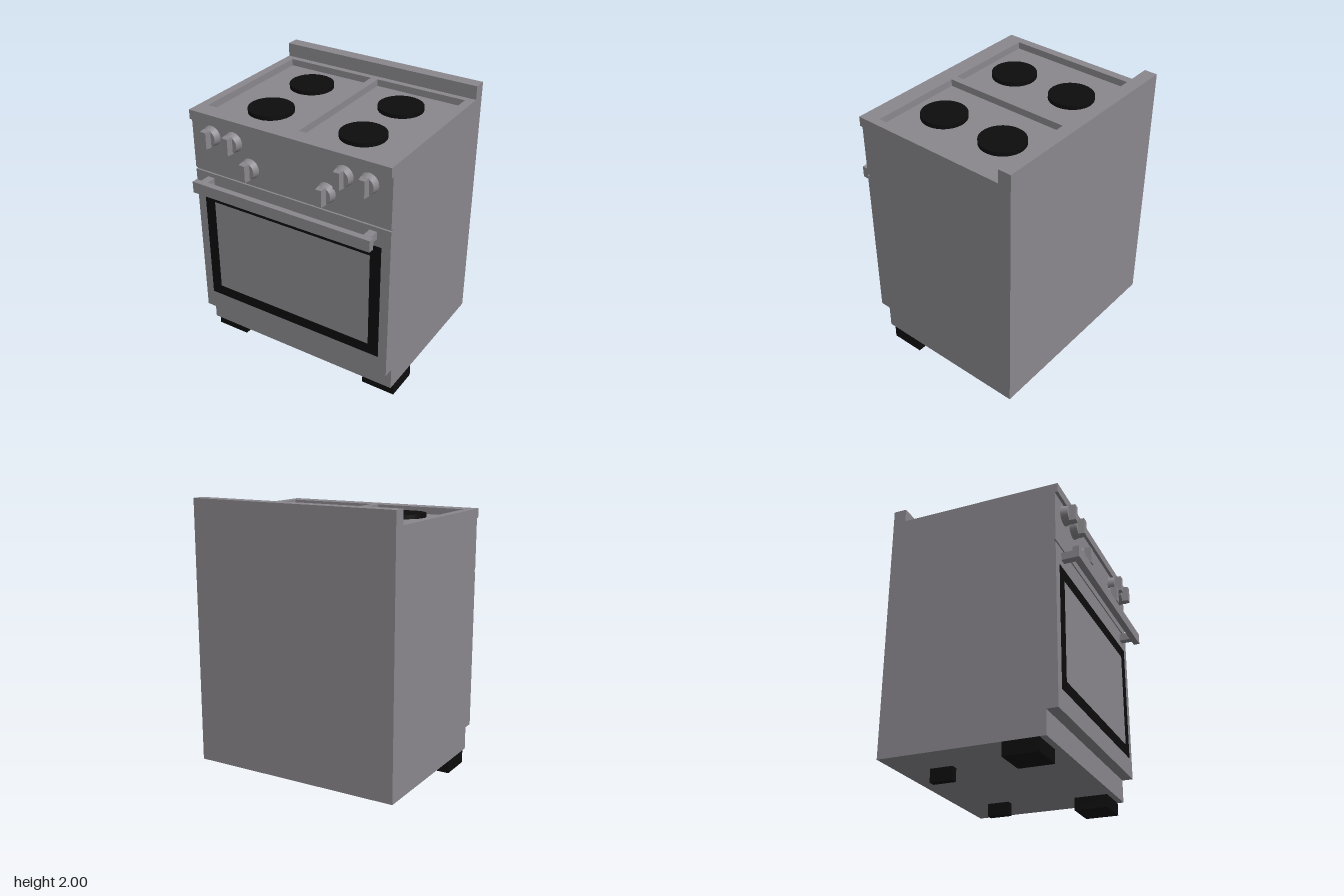
import * as THREE from 'three';

const steel = new THREE.MeshStandardMaterial({ color: 0x8a888d });
steel.name = 'steel';
const black = new THREE.MeshStandardMaterial({ color: 0x0d0d0d });
black.name = 'black';

const HALF = 0.783; // half width of the cooker
const BACK = -0.695;

function add(parent, name, geometry, material) {
  const mesh = new THREE.Mesh(geometry, material);
  mesh.name = name;
  parent.add(mesh);
  return mesh;
}

// Box given by its limits on each axis
function box(parent, name, material, [x0, x1], [y0, y1], [z0, z1]) {
  const mesh = add(parent, name, new THREE.BoxGeometry(x1 - x0, y1 - y0, z1 - z0), material);
  mesh.position.set((x0 + x1) / 2, (y0 + y1) / 2, (z0 + z1) / 2);
  return mesh;
}

function rectangle(Type, x0, x1, y0, y1) {
  return new Type([[x0, y0], [x1, y0], [x1, y1], [x0, y1]].map(p => new THREE.Vector2(...p)));
}

// Round tapered base with a wedge-shaped grip, facing +z
function makeKnob() {
  const knob = new THREE.Group();
  knob.name = 'knob';
  const base = new THREE.CylinderGeometry(0.062, 0.072, 0.05, 32).rotateX(Math.PI / 2);
  add(knob, 'knobBase', base, steel).position.z = 0.025;

  const grip = new THREE.BoxGeometry(0.06, 0.122, 0.05);
  const p = grip.attributes.position;
  for (let i = 0; i < p.count; i++) if (p.getZ(i) > 0) p.setX(i, p.getX(i) * 0.75);
  grip.computeVertexNormals();
  add(knob, 'knobGrip', grip, steel).position.z = 0.07;
  return knob;
}

export function createModel() {
  const model = new THREE.Group();
  model.name = 'cooker';
  const width = [-HALF, HALF];

  // Body: plinth, core, door and control panel with a narrow groove between
  box(model, 'plinth', steel, width, [0.095, 0.265], [BACK, 0.48]);
  box(model, 'bodyCore', steel, width, [0.265, 1.83], [BACK, 0.546]);
  box(model, 'ovenDoor', steel, width, [0.265, 1.44], [0.546, 0.56]);
  box(model, 'controlPanel', steel, width, [1.455, 1.83], [0.546, 0.56]);

  // Window border on the door
  const border = rectangle(THREE.Shape, -0.716, 0.716, 0.41, 1.3);
  border.holes.push(rectangle(THREE.Path, -0.635, 0.635, 0.49, 1.215));
  const borderGeometry = new THREE.ExtrudeGeometry(border, { depth: 0.004, bevelEnabled: false });
  add(model, 'windowBorder', borderGeometry, black).position.z = 0.559;
  box(model, 'windowPane', steel, [-0.635, 0.635], [0.49, 1.215], [0.559, 0.562]);

  // Door handle
  box(model, 'handleBar', steel, [-0.707, 0.707], [1.336, 1.42], [0.65, 0.695]);
  for (const s of [-1, 1]) {
    const post = box(model, 'handlePost', steel, [-0.0275, 0.0275], [1.353, 1.408], [0.56, 0.65]);
    post.position.x = s * 0.653;
  }

  // Cooktop with two sunken trays
  const floor = 1.85;
  box(model, 'cooktopFloor', steel, width, [1.83, floor], [BACK, 0.582]);
  const rim = rectangle(THREE.Shape, -HALF, HALF, -0.582, -BACK);
  rim.holes.push(rectangle(THREE.Path, -0.72, -0.028, -0.457, 0.553));
  rim.holes.push(rectangle(THREE.Path, 0.028, 0.72, -0.457, 0.553));
  const rimGeometry = new THREE.ExtrudeGeometry(rim, { depth: 1.9 - floor, bevelEnabled: false });
  add(model, 'cooktopRim', rimGeometry.rotateX(-Math.PI / 2), steel).position.y = floor;
  box(model, 'backsplash', steel, width, [1.9, 2], [BACK, -0.6]);

  // Hotplates
  const plate = new THREE.CylinderGeometry(0.161, 0.161, 0.03, 48);
  for (const x of [-0.367, 0.367])
    for (const z of [-0.288, 0.214]) add(model, 'hotplate', plate, black).position.set(x, floor + 0.015, z);

  for (const s of [-1, 1]) {
    // Control knobs
    for (const [x, y] of [[0.615, 1.74], [0.433, 1.74], [0.302, 1.578]]) {
      const knob = makeKnob();
      knob.position.set(s * x, y, 0.56);
      model.add(knob);
    }
    // Feet
    const front = box(model, 'frontFoot', black, [-0.129, 0.129], [0, 0.095], [0.185, 0.435]);
    front.position.x = s * 0.654;
    const rear = box(model, 'rearFoot', black, [-0.0275, 0.0275], [0, 0.095], [-0.466, -0.3]);
    rear.position.x = s * 0.457;
  }

  return model;
}
